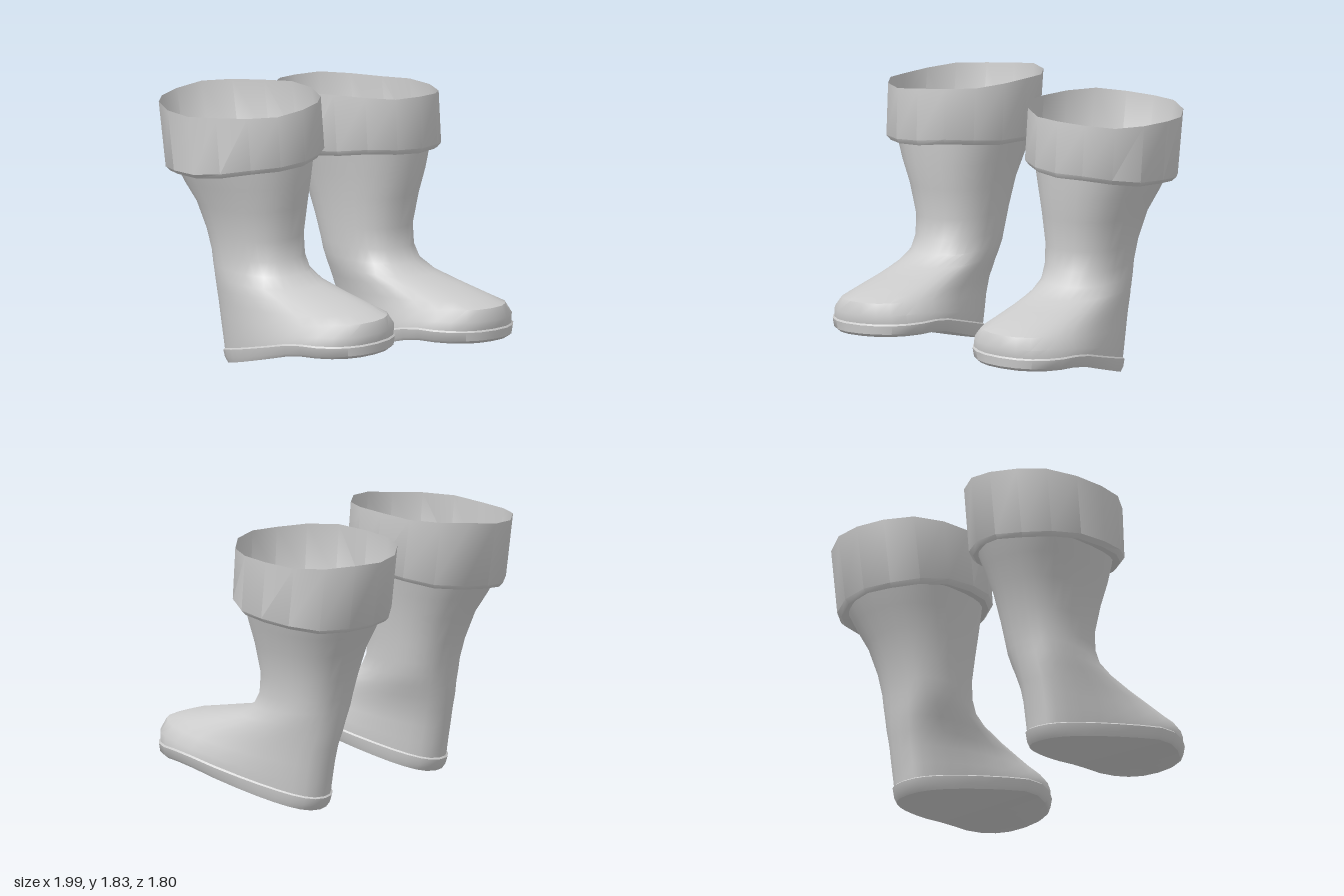
import * as THREE from 'three';
import { toCreasedNormals } from 'three/addons/utils/BufferGeometryUtils.js';

const rubber = new THREE.MeshStandardMaterial({ color: 0xcccccc, side: THREE.DoubleSide });
rubber.name = 'paleGrey';

// Ring: [front z, front y, back z, back y, front half width, back half width, centre x, bend]
// Bend is the share of the length over which the ring climbs before it runs level to the toe.
const SOLE = [
  [0.88, 0.24, -0.36, 0.005, 0, 0, 0.53, 0.7],
  [0.88, 0.24, -0.36, 0.005, 0.395, 0.25, 0.53, 0.7],
  [0.905, 0.26, -0.39, 0.04, 0.415, 0.255, 0.53, 0.7],
  [0.91, 0.315, -0.405, 0.085, 0.43, 0.255, 0.53, 0.7],
  [0.9, 0.325, -0.395, 0.095, 0.42, 0.245, 0.53, 0.7],
];
const UPPER = [
  [0.9, 0.325, -0.395, 0.095, 0.42, 0.245, 0.53, 0.7],
  [0.91, 0.38, -0.41, 0.19, 0.41, 0.25, 0.53, 0.8],
  [0.88, 0.455, -0.43, 0.3, 0.355, 0.25, 0.53, 0.9],
  [0.76, 0.495, -0.45, 0.41, 0.315, 0.25, 0.525, 1],
  [0.52, 0.54, -0.47, 0.5, 0.28, 0.25, 0.515, 1],
  [0.3, 0.58, -0.48, 0.58, 0.265, 0.25, 0.505, 1],
  [0.165, 0.64, -0.495, 0.66, 0.25, 0.25, 0.495, 1],
  [0.11, 0.73, -0.51, 0.74, 0.25, 0.25, 0.49, 1],
  [0.095, 0.86, -0.55, 0.87, 0.26, 0.26, 0.49, 1],
  [0.125, 1.06, -0.62, 1.05, 0.295, 0.295, 0.5, 1],
  [0.15, 1.22, -0.7, 1.18, 0.34, 0.34, 0.515, 1],
  [0.165, 1.41, -0.77, 1.32, 0.39, 0.39, 0.525, 1],
];
// The first ring tucks just inside the shaft, so the ledge meets it without a gap
const CUFF = [
  [0.15, 1.36, -0.755, 1.28, 0.372, 0.372, 0.525, 1],
  [0.23, 1.365, -0.8, 1.25, 0.44, 0.44, 0.525, 1],
  [0.255, 1.4, -0.825, 1.275, 0.468, 0.468, 0.525, 1],
  [0.235, 1.725, -0.89, 1.695, 0.467, 0.467, 0.53, 1],
];

// Skins a stack of rings; square rounds the outline out, tilt drops the outer side
function loft(rings, sides, side, { square = 1, tilt = 0, wave = 0 } = {}) {
  const pos = [], index = [];
  const soften = (v) => Math.sign(v) * Math.abs(v) ** square;
  for (const [zf, yf, zb, yb, wf, wb, xc, bend] of rings) {
    for (let j = 0; j < sides; j++) {
      const a = (j / sides) * Math.PI * 2;
      const t = (soften(Math.cos(a)) + 1) / 2;
      const x = soften(Math.sin(a)) * THREE.MathUtils.lerp(wb, wf, THREE.MathUtils.smoothstep(t, 0, 1));
      const y = THREE.MathUtils.lerp(yb, yf, Math.min(1, t / bend));
      pos.push(side * xc + x, y - tilt * side * x + wave * Math.sin(5 * a + yf * 4), THREE.MathUtils.lerp(zb, zf, t));
    }
  }
  for (let i = 0; i < rings.length - 1; i++) {
    for (let j = 0; j < sides; j++) {
      const a = i * sides + j, b = i * sides + ((j + 1) % sides);
      index.push(a, b, b + sides, a, b + sides, a + sides);
    }
  }
  const g = new THREE.BufferGeometry();
  g.setAttribute('position', new THREE.Float32BufferAttribute(pos, 3));
  g.setIndex(index);
  return toCreasedNormals(g, 0.75);
}

function addPart(group, name, geometry) {
  const mesh = new THREE.Mesh(geometry, rubber);
  mesh.name = name;
  group.add(mesh);
}

function makeBoot(side) {
  const boot = new THREE.Group();
  boot.name = side > 0 ? 'leftBoot' : 'rightBoot';
  addPart(boot, 'sole', loft(SOLE, 28, side, { square: 0.85, tilt: 0.03 }));
  addPart(boot, 'footAndShaft', loft(UPPER, 28, side, { square: 0.85, tilt: 0.03 }));
  addPart(boot, 'cuff', loft(CUFF, 16, side, { tilt: 0.075, wave: 0.007 }));
  return boot;
}

export function createModel() {
  const model = new THREE.Group();
  model.name = 'pairOfBoots';
  const left = makeBoot(1), right = makeBoot(-1);
  right.position.y = 0.085; // right boot is lifted slightly
  model.add(left, right);
  return model;
}
